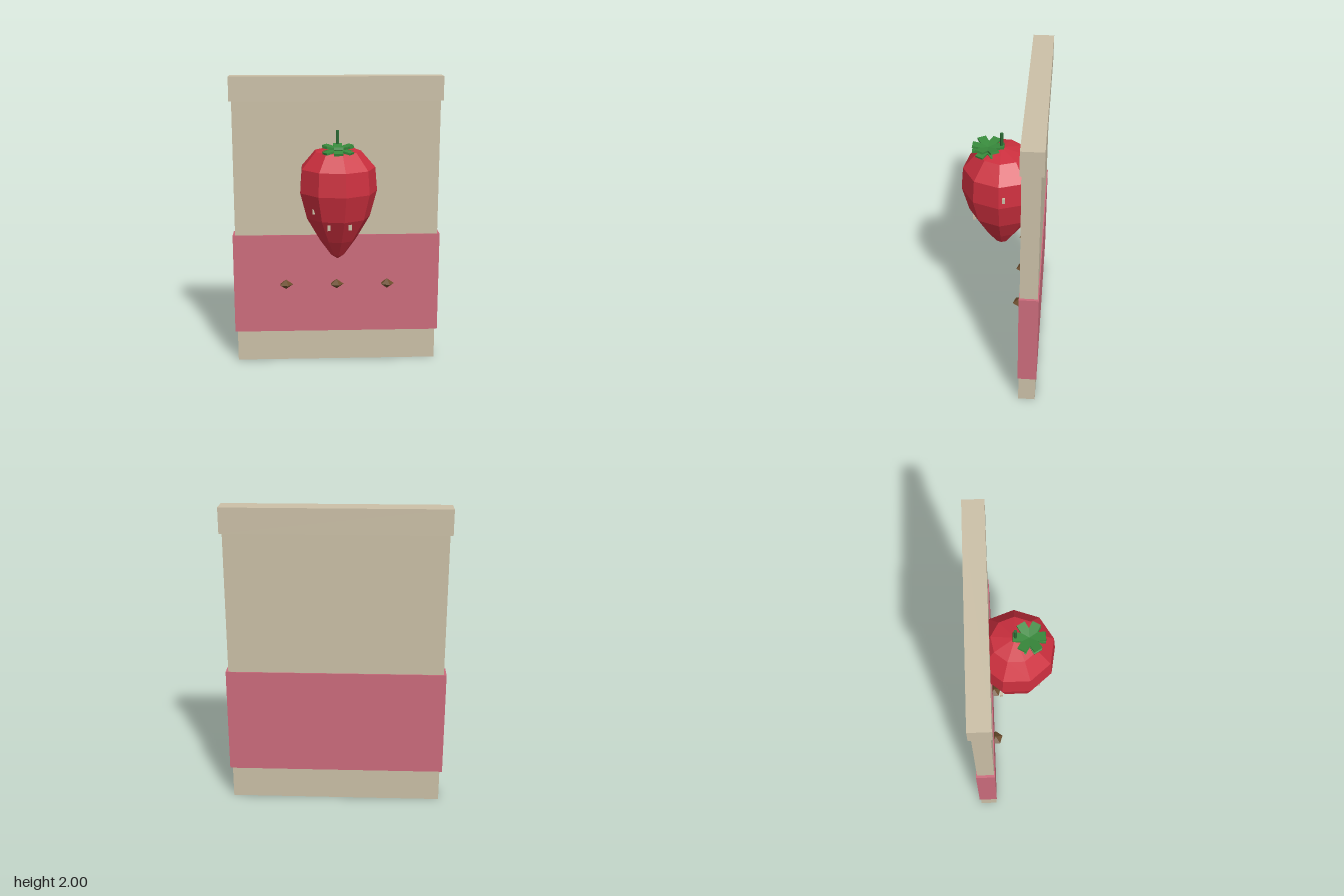
import * as THREE from 'three';

const mat = (name, color, flat = true) => {
  const m = new THREE.MeshStandardMaterial({ color, flatShading: flat });
  m.name = name;
  return m;
};

export function createModel() {
  const stone = mat('pale stone', 0xcbc0a7);
  const pink = mat('pink', 0xcc6c7c);
  const red = mat('berry red', 0xcc2f3e);
  const leaf = mat('leaf green', 0x388a3c);
  const stemGreen = mat('stem green', 0x2b6b34);
  const brown = mat('seed brown', 0x6b4c2c);

  const model = new THREE.Group();
  model.name = 'berrySign';
  const add = (name, geometry, material, x, y, z, parent = model) => {
    const mesh = new THREE.Mesh(geometry, material);
    mesh.name = name;
    mesh.position.set(x, y, z);
    parent.add(mesh);
    return mesh;
  };
  // Faceted solid of revolution with its first corner on the +x side
  const turned = (profile, sides) => new THREE.LatheGeometry(
    profile.map(([r, y]) => new THREE.Vector2(r, y)), sides, Math.PI / 2);

  // Slab with a top rail and a wrapped band
  add('board', new THREE.BoxGeometry(1.4, 1.9, 0.112), stone, 0, 0.95, -0.204);
  add('topRail', new THREE.BoxGeometry(1.434, 0.163, 0.138), stone, 0, 1.9185, -0.208);
  add('band', new THREE.BoxGeometry(1.434, 0.703, 0.124), pink, 0, 0.5665, -0.205);

  // Nine-sided berry, partly sunk into the slab
  const cz = 0.017;
  add('berry', turned([
    [0, 0.795], [0.045, 0.825], [0.125, 0.935], [0.217, 1.092],
    [0.263, 1.265], [0.25, 1.42], [0.155, 1.53], [0, 1.562],
  ], 9), red, 0, 0, cz);

  // Crown of six crossing, tilted leaf strips
  const crown = new THREE.Group();
  crown.name = 'leafCrown';
  crown.position.set(0, 1.552, 0.103);
  model.add(crown);
  for (let i = 0; i < 6; i++) {
    const strip = add('leafStrip', new THREE.BoxGeometry(0.207, 0.014, 0.058), leaf, 0, 0, 0, crown);
    strip.rotation.set(0, Math.PI / 6 + i * Math.PI / 3, 0.2, 'YXZ');
  }
  add('stem', new THREE.CylinderGeometry(0.011, 0.011, 0.125, 6), stemGreen, 0, 1.6025, cz);

  // Pale seeds just breaking the berry surface
  [
    [0.252, 1.325, -0.014], [-0.226, 1.155, -0.08], [-0.16, 1.155, 0.162],
    [-0.062, 1.052, 0.199], [0.075, 1.055, 0.192],
  ].forEach(([x, y, z]) => add('berrySeed', new THREE.BoxGeometry(0.02, 0.035, 0.02), stone, x, y, z));

  // Row of five-sided studs across the band
  const studShape = turned([[0, -0.034], [0.05, 0], [0, 0.034]], 5);
  for (const x of [-0.353, 0, 0.353]) add('stud', studShape, brown, x, 0.566, -0.132);

  return model;
}
